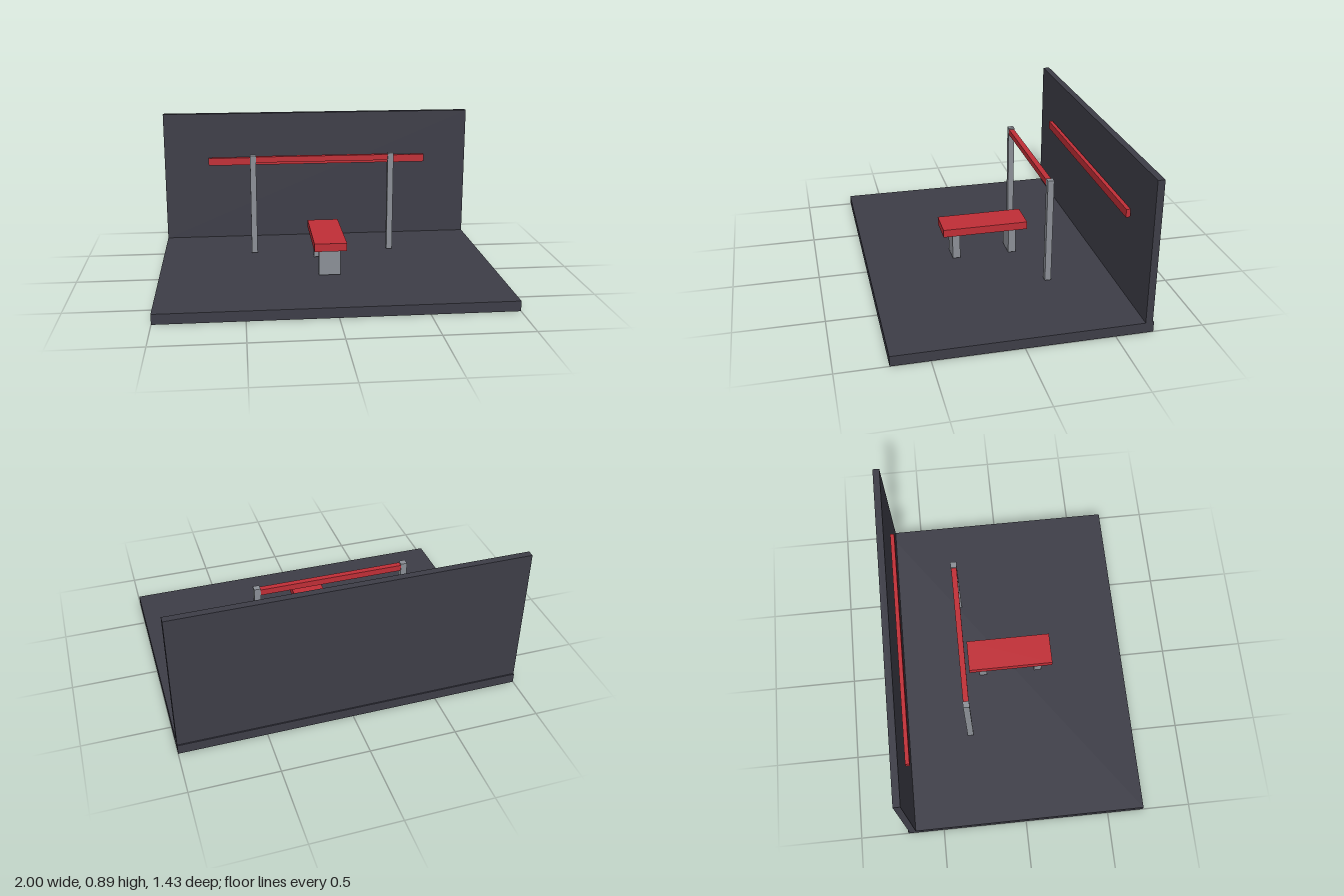
import * as THREE from 'three';

export function createModel() {
  const group = new THREE.Group();
  const material = (name, color) => {
    const m = new THREE.MeshStandardMaterial({ color });
    m.name = name;
    return m;
  };
  const charcoal = material('charcoal', 0x3d3d47);
  const red = material('red', 0xc02e36);
  const steel = material('steel grey', 0x8b8f96);

  // Box given by its lower and upper limits on each axis
  const box = (name, mat, [x0, x1], [y0, y1], [z0, z1]) => {
    const mesh = new THREE.Mesh(new THREE.BoxGeometry(x1 - x0, y1 - y0, z1 - z0), mat);
    mesh.position.set((x0 + x1) / 2, (y0 + y1) / 2, (z0 + z1) / 2);
    mesh.name = name;
    group.add(mesh);
  };

  // Room: floor slab, back wall and wall rail
  box('floor', charcoal, [-1, 1], [0, 0.059], [-0.714, 0.714]);
  box('backWall', charcoal, [-1, 1], [0.059, 0.892], [-0.707, -0.667]);
  box('wallRail', red, [-0.714, 0.714], [0.556, 0.604], [-0.655, -0.631]);

  // Rack: two uprights joined by a crossbar
  for (const [name, x] of [['leftUpright', 0.43], ['rightUpright', -0.43]]) {
    box(name, steel, [x - 0.018, x + 0.018], [0.065, 0.692], [-0.305, -0.269]);
  }
  box('crossbar', red, [-0.415, 0.415], [0.648, 0.683], [-0.303, -0.271]);

  // Bench: padded seat on two block legs
  box('benchSeat', red, [-0.095, 0.095], [0.228, 0.275], [-0.257, 0.257]);
  for (const [name, z] of [['frontBenchLeg', 0.174], ['rearBenchLeg', -0.172]]) {
    box(name, steel, [-0.063, 0.063], [0.065, 0.228], [z - 0.023, z + 0.023]);
  }

  return group;
}
